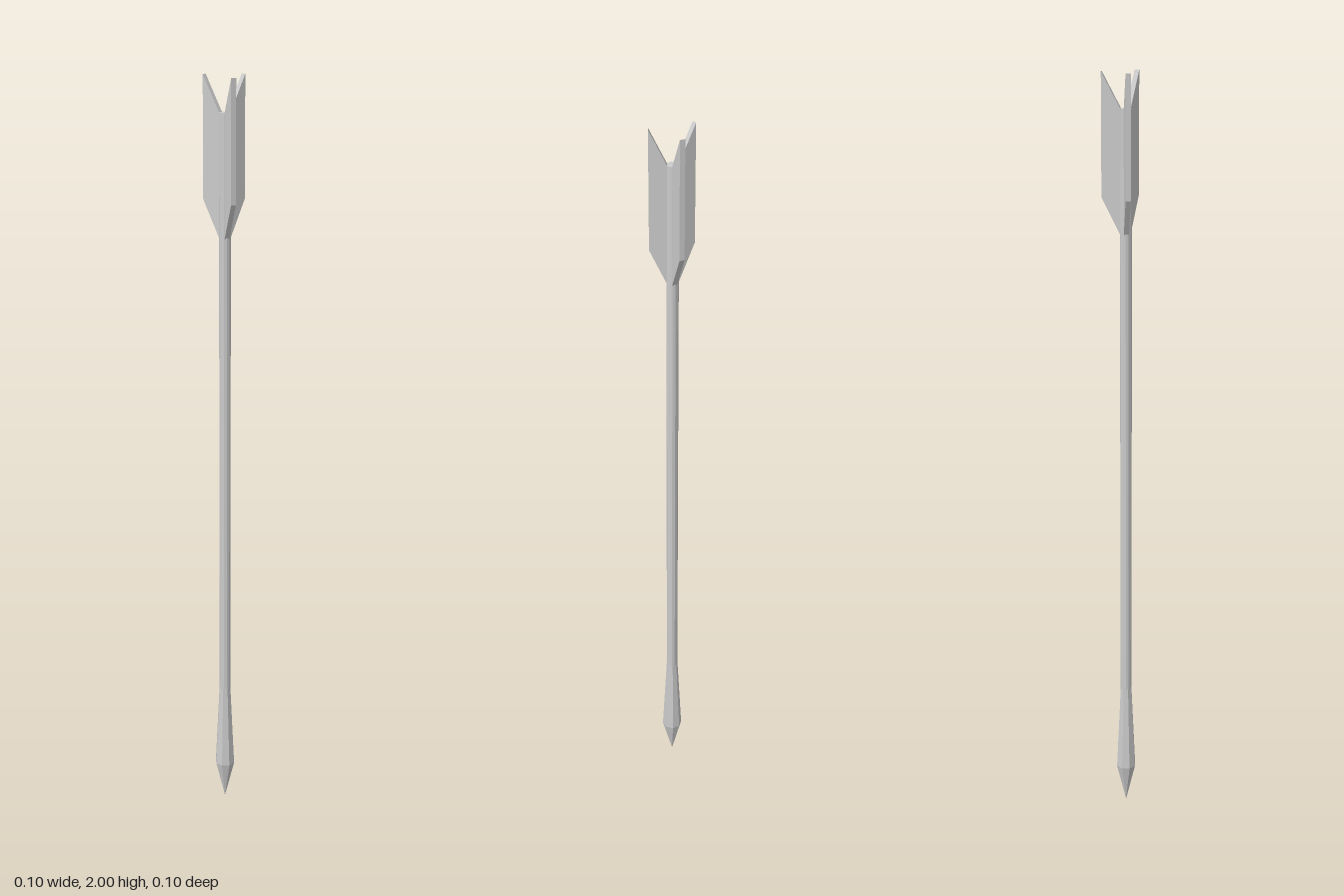
import * as THREE from 'three';

const material = new THREE.MeshStandardMaterial({ color: 0xcccccc, flatShading: true });

// Faceted solid of revolution from [radius, height] pairs, bottom to top
function turned(name, profile, sides) {
  const points = profile.map(([r, y]) => new THREE.Vector2(r, y));
  const mesh = new THREE.Mesh(new THREE.LatheGeometry(points, sides, Math.PI / sides), material);
  mesh.name = name;
  return mesh;
}

// Swept vane with a V-cut top, standing out from the shaft along (dx, dz)
function fletching(name, dx, dz) {
  const thickness = 0.013;
  const reach = Math.hypot(dx, dz);
  const outline = new THREE.Shape([
    [0, 1.6], [0.012, 1.6], [reach, 1.695], [reach, 2], [0.012, 1.91], [0, 1.91],
  ].map(([x, y]) => new THREE.Vector2(x, y)));
  const geometry = new THREE.ExtrudeGeometry(outline, { depth: thickness, bevelEnabled: false });
  geometry.translate(0, 0, -thickness / 2);
  const mesh = new THREE.Mesh(geometry, material);
  mesh.rotation.y = Math.atan2(-dz, dx);
  mesh.name = name;
  return mesh;
}

export function createModel() {
  const arrow = new THREE.Group();
  arrow.name = 'arrow';

  // Long shaft, capped at the nock end
  arrow.add(turned('shaft', [[0, 0.3], [0.015, 0.3], [0.015, 1.912], [0, 1.912]], 12));

  // Pointed head, tapering back into the shaft
  arrow.add(turned('head', [[0, 0], [0.027, 0.11], [0.0155, 0.35], [0, 0.35]], 8));

  // Three vanes around the tail
  arrow.add(fletching('leftFletching', 0.048, -0.037));
  arrow.add(fletching('rightFletching', -0.048, -0.037));
  arrow.add(fletching('frontFletching', 0.017, 0.053));

  // The shaft axis sits slightly behind the centre of the vanes
  arrow.position.z = -0.007;
  const model = new THREE.Group();
  model.add(arrow);
  return model;
}
